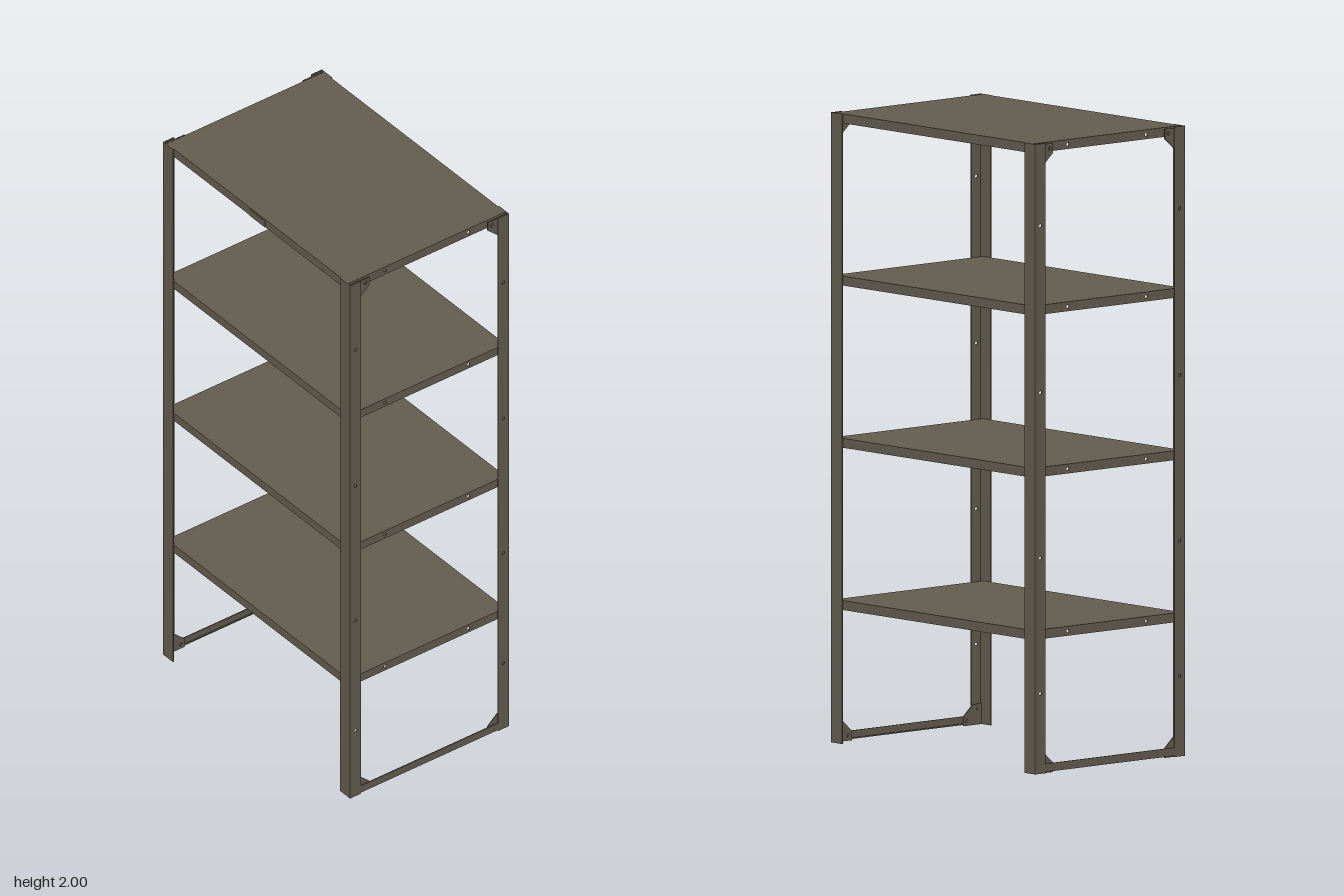
import * as THREE from 'three';

const W = 0.482, D = 0.315, H = 2;   // half width, half depth, height
const T = 0.004;                     // sheet thickness
const SX = 0.468, SZ = 0.311;        // shelf half sizes
const LIP = 0.03;                    // shelf lip height

export function createModel() {
  const steel = new THREE.MeshStandardMaterial({ color: 0x655e50 });
  steel.name = 'brown grey steel';
  const root = new THREE.Group();
  root.name = 'shelvingUnit';

  const add = (parent, name, geo) => {
    const mesh = new THREE.Mesh(geo, steel);
    mesh.name = name;
    parent.add(mesh);
    return mesh;
  };

  // Box given by its lower and upper corners
  const box = (parent, name, x0, x1, y0, y1, z0, z1) =>
    add(parent, name, new THREE.BoxGeometry(x1 - x0, y1 - y0, z1 - z0)
      .translate((x0 + x1) / 2, (y0 + y1) / 2, (z0 + z1) / 2));

  // Upright plate facing x, drawn as [z, y] points with round holes, outer face at x
  const sidePlate = (parent, name, points, holes, x) => {
    const shape = new THREE.Shape(points.map(([z, y]) => new THREE.Vector2(z, y)));
    for (const [z, y] of holes) {
      shape.holes.push(new THREE.Path().absarc(z, y, 0.006, 0, Math.PI * 2, true));
    }
    const geo = new THREE.ExtrudeGeometry(shape, { depth: T, bevelEnabled: false, curveSegments: 4 });
    return add(parent, name, geo.rotateY(-Math.PI / 2).translate(x, 0, 0));
  };
  const rect = (z0, z1, y0, y1) => [[z0, y0], [z1, y0], [z1, y1], [z0, y1]];

  // Four tray shelves, open underneath
  for (const top of [0.455, 0.97, 1.485, 2]) {
    const shelf = new THREE.Group();
    shelf.name = 'shelf';
    root.add(shelf);
    const y0 = top - LIP, y1 = top - T;
    box(shelf, 'shelfTop', -SX, SX, y1, top, -SZ, SZ);
    for (const s of [-1, 1]) {
      const z = s * (SZ - T / 2);
      box(shelf, 'shelfLongLip', -SX, SX, y0, y1, z - T / 2, z + T / 2);
      sidePlate(shelf, 'shelfShortLip', rect(-SZ + T, SZ - T, y0, y1),
        [[-0.165, top - 0.015], [0.165, top - 0.015]], s > 0 ? SX : -SX + T);
    }
  }

  // Thin tab on the front lip of the top shelf
  box(root, 'frontTab', -0.04, 0.04, H - LIP, H - 0.006, SZ, SZ + 0.002);

  for (const sx of [-1, 1]) {
    const outer = sx > 0 ? W : -W + T;

    for (const sz of [-1, 1]) {
      // Angle post: wide flange to front or back, drilled flange to the side
      const post = new THREE.Group();
      post.name = 'post';
      root.add(post);
      const xa = sx * W, xb = sx * 0.431, za = sz * D, zb = sz * (D - T);
      box(post, 'postWideFlange', Math.min(xa, xb), Math.max(xa, xb), 0, H, Math.min(za, zb), Math.max(za, zb));
      const zc = sz * 0.272;
      sidePlate(post, 'postSideFlange', rect(Math.min(zb, zc), Math.max(zb, zc), 0, H),
        [0.255, 0.685, 1.21, 1.74].map((y) => [sz * 0.293, y]), outer);

      // Corner gussets at foot and top, with bolts
      for (const atTop of [false, true]) {
        const fy = (y) => (atTop ? H - T - y : y);
        const outline = [[0.31, 0], [0.31, 0.068], [0.272, 0.063], [0.235, 0.03], [0.235, 0]]
          .map(([z, y]) => [sz * z, fy(y)]);
        sidePlate(root, 'gusset', outline, [], sx > 0 ? 0.477 : -0.473);
        for (const [z, y] of [[0.25, 0.015], [0.295, 0.05]]) {
          add(root, 'bolt', new THREE.CylinderGeometry(0.006, 0.006, 0.011, 8)
            .rotateZ(Math.PI / 2).translate(sx * 0.4755, fy(y), sz * z));
        }
      }
    }

    // Foot rail joining the front and back posts
    const x0 = sx > 0 ? 0.474 : -W;
    sidePlate(root, 'footRailWeb', rect(-0.272, 0.272, 0.004, LIP), [], outer);
    box(root, 'footRailFlange', x0, x0 + 0.008, 0.004, 0.008, -0.272, 0.272);
  }
  return root;
}
